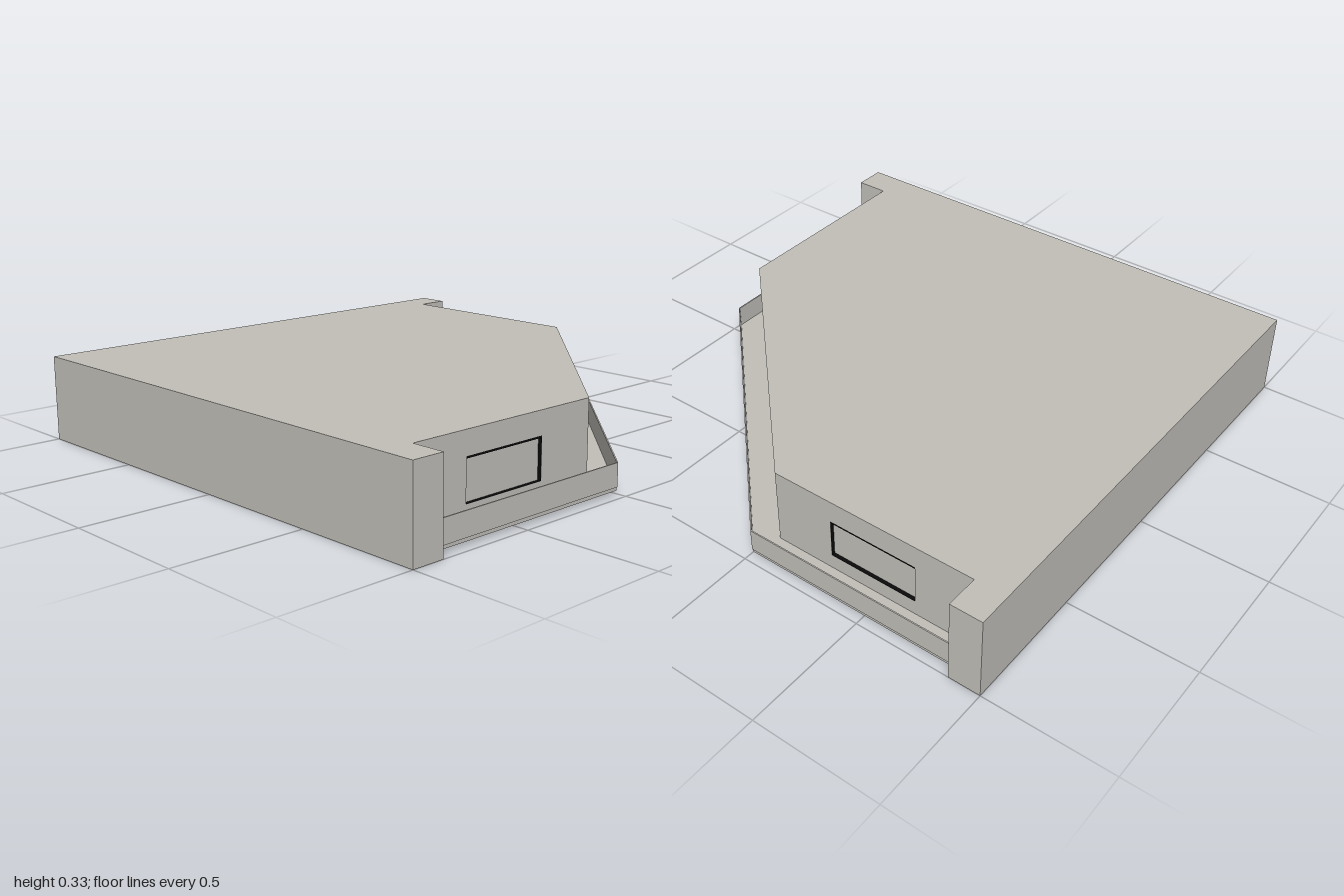
import * as THREE from 'three';

const H = 0.33; // storey height

export function createModel() {
  const model = new THREE.Group();
  model.name = 'cornerStorey';
  const concrete = new THREE.MeshStandardMaterial({ color: 0xc2bfb9 });
  concrete.name = 'concrete';
  const black = new THREE.MeshStandardMaterial({ color: 0x0a0a0a });
  black.name = 'blackTrim';

  const add = (parent, name, geometry, material = concrete) => {
    const mesh = new THREE.Mesh(geometry, material);
    mesh.name = name;
    parent.add(mesh);
    return mesh;
  };
  const box = (parent, name, x0, x1, y0, y1, z0, z1, material) =>
    add(parent, name, new THREE.BoxGeometry(x1 - x0, y1 - y0, z1 - z0), material)
      .position.set((x0 + x1) / 2, (y0 + y1) / 2, (z0 + z1) / 2);
  const planShape = (pts) => new THREE.Shape(pts.map(([x, z]) => new THREE.Vector2(x, -z)));
  const slab = (name, pts, y0, y1) => add(model, name,
    new THREE.ExtrudeGeometry(planShape(pts), { depth: y1 - y0, bevelEnabled: false })
      .rotateX(-Math.PI / 2).translate(0, y0, 0));

  // Floor plan as x, z corners, anticlockwise seen from above
  const plan = [[-1, 1], [1, 1], [1, 0.875], [0.87, 0.875], [0.87, 0.05],
    [-0.05, -0.87], [-0.875, -0.87], [-0.875, -1], [-1, -1]];
  // Openings by wall: start and end along the wall, bottom, top
  const openings = {
    3: { name: 'rightWindow', r: [0.23, 0.585, 0.088, 0.243], trim: true },
    4: { name: 'door', r: [0.453, 0.827, 0.03, 0.272], trim: false },
    5: { name: 'backWindow', r: [0.24, 0.595, 0.088, 0.243], trim: true },
  };

  // Walls, each built flat and turned so that its local z faces outward
  plan.forEach(([ax, az], i) => {
    const [bx, bz] = plan[(i + 1) % plan.length];
    const length = Math.hypot(bx - ax, bz - az);
    const wall = new THREE.Group();
    wall.name = 'wall' + (i + 1);
    wall.position.set(ax, 0, az);
    wall.rotation.y = Math.atan2(az - bz, bx - ax);
    model.add(wall);

    const face = new THREE.Shape();
    face.moveTo(0, 0).lineTo(length, 0).lineTo(length, H).lineTo(0, H);
    const opening = openings[i];
    if (opening) {
      const [x0, x1, y0, y1] = opening.r;
      const hole = new THREE.Path();
      hole.moveTo(x0, y0).lineTo(x0, y1).lineTo(x1, y1).lineTo(x1, y0);
      face.holes.push(hole);
      // Recessed panel and the reveals around it
      const depth = 0.015, t = 0.004, mat = opening.trim ? black : concrete;
      box(wall, opening.name + 'Panel', x0, x1, y0, y1, -depth - 0.005, -depth);
      box(wall, opening.name + 'Sill', x0, x1, y0 - t, y0, -depth, -0.001, mat);
      box(wall, opening.name + 'Lintel', x0, x1, y1 - (opening.trim ? 0.008 : 0), y1 + t, -depth, -0.001, mat);
      box(wall, opening.name + 'JambA', x0 - t, x0, y0, y1, -depth, -0.001, mat);
      box(wall, opening.name + 'JambB', x1, x1 + t, y0, y1, -depth, -0.001, mat);
    }
    add(wall, 'wallFace', new THREE.ShapeGeometry(face));
  });

  // Roof and underside
  add(model, 'roof', new THREE.ShapeGeometry(planShape(plan)).rotateX(-Math.PI / 2).translate(0, H, 0));
  add(model, 'underside', new THREE.ShapeGeometry(
    new THREE.Shape(plan.map(([x, z]) => new THREE.Vector2(x, z)))).rotateX(Math.PI / 2));

  // Balcony line running at distance d outside the three inner walls
  const line = (d) => {
    const side = 0.87 + d, corner = 0.05 - 0.414 * d;
    return [[side, 0.875], [side, corner], [-corner, -side], [-0.875, -side]];
  };
  const band = (outer, inner) => [...line(outer), ...line(inner).reverse()];
  slab('balconyFloor', band(0.097, 0), 0.015, 0.03);
  slab('balconyParapet', band(0.1, 0.095), 0.028, 0.115);

  return model;
}
